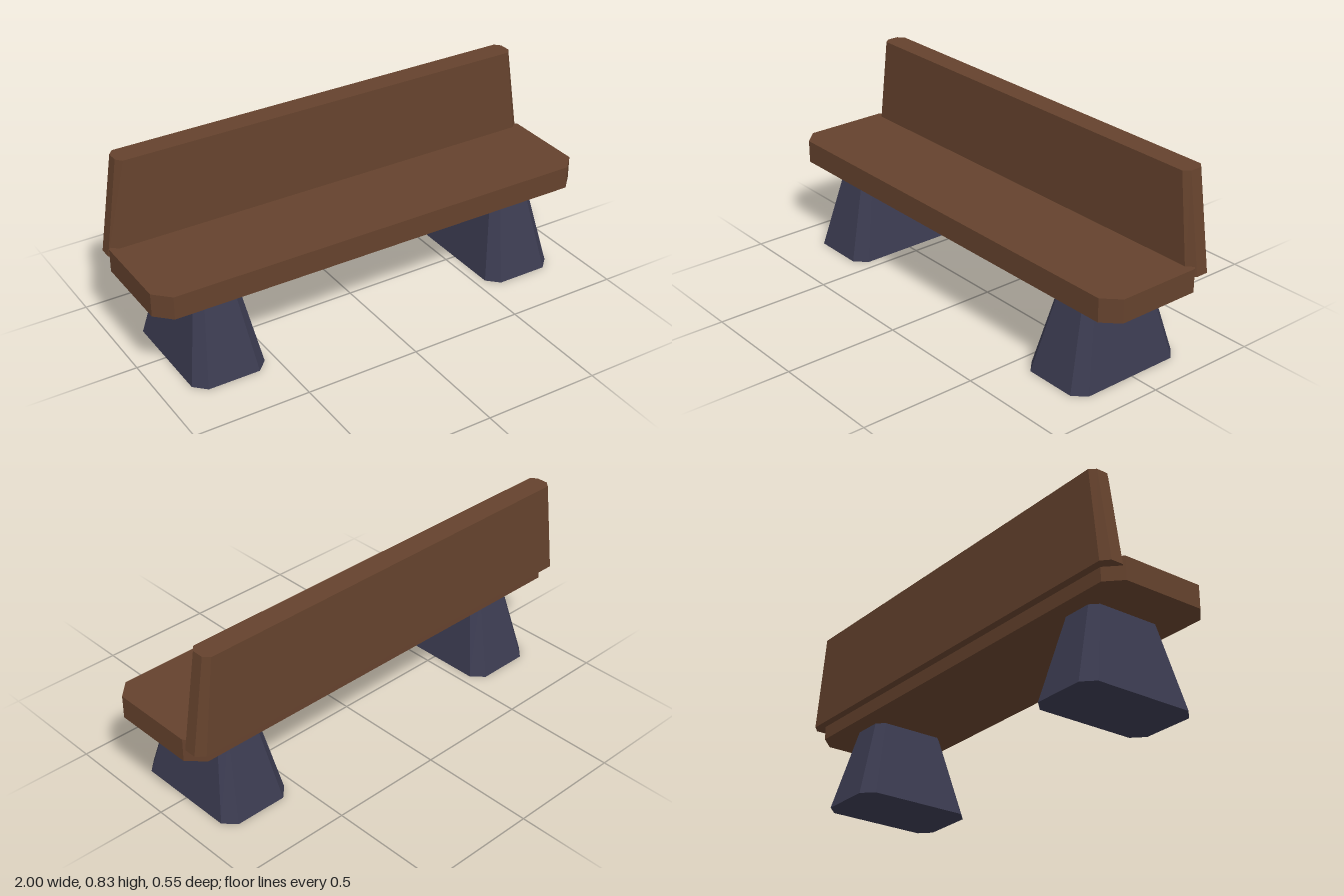
import * as THREE from 'three';

// Rectangle with cut corners at height y: half sizes hx, hz, cuts cx, cz, centre depth z
function ring(y, hx, hz, cx, cz, z) {
  return [
    [hx, hz - cz], [hx, -hz + cz], [hx - cx, -hz], [-hx + cx, -hz],
    [-hx, -hz + cz], [-hx, hz - cz], [-hx + cx, hz], [hx - cx, hz],
  ].map(([px, pz]) => new THREE.Vector3(px, y, pz + z));
}

// Closed solid between a lower and an upper ring, one flat face per side
function loft(lower, upper) {
  const points = [];
  const n = lower.length;
  for (let i = 0; i < n; i++) {
    const j = (i + 1) % n;
    points.push(lower[i], lower[j], upper[j], lower[i], upper[j], upper[i]);
    if (i > 0 && i < n - 1) {
      points.push(upper[0], upper[i], upper[j]);
      points.push(lower[0], lower[j], lower[i]);
    }
  }
  const geometry = new THREE.BufferGeometry().setFromPoints(points);
  geometry.computeVertexNormals();
  return geometry;
}

export function createModel() {
  const wood = new THREE.MeshStandardMaterial({ name: 'brown wood', color: 0x65422d });
  const stone = new THREE.MeshStandardMaterial({ name: 'slate blue', color: 0x3b3b50 });
  const bench = new THREE.Group();
  bench.name = 'bench';

  const add = (name, geometry, material, x = 0) => {
    const mesh = new THREE.Mesh(geometry, material);
    mesh.name = name;
    mesh.position.x = x;
    bench.add(mesh);
  };

  // Seat slab with cut corners
  add('seat', loft(
    ring(0.36, 1, 0.249, 0.065, 0.065, 0.007),
    ring(0.46, 1, 0.249, 0.065, 0.065, 0.007)), wood);

  // Backrest, narrowing upward
  add('backrest', loft(
    ring(0.42, 1, 0.057, 0.033, 0.03, -0.219),
    ring(0.835, 0.936, 0.05, 0.022, 0.025, -0.219)), wood);

  // Two tapered legs
  const leg = loft(
    ring(0, 0.163, 0.27, 0.049, 0.049, 0.007),
    ring(0.36, 0.095, 0.17, 0.031, 0.032, 0.007));
  add('leftLeg', leg, stone, 0.709);
  add('rightLeg', leg, stone, -0.709);

  return bench;
}
